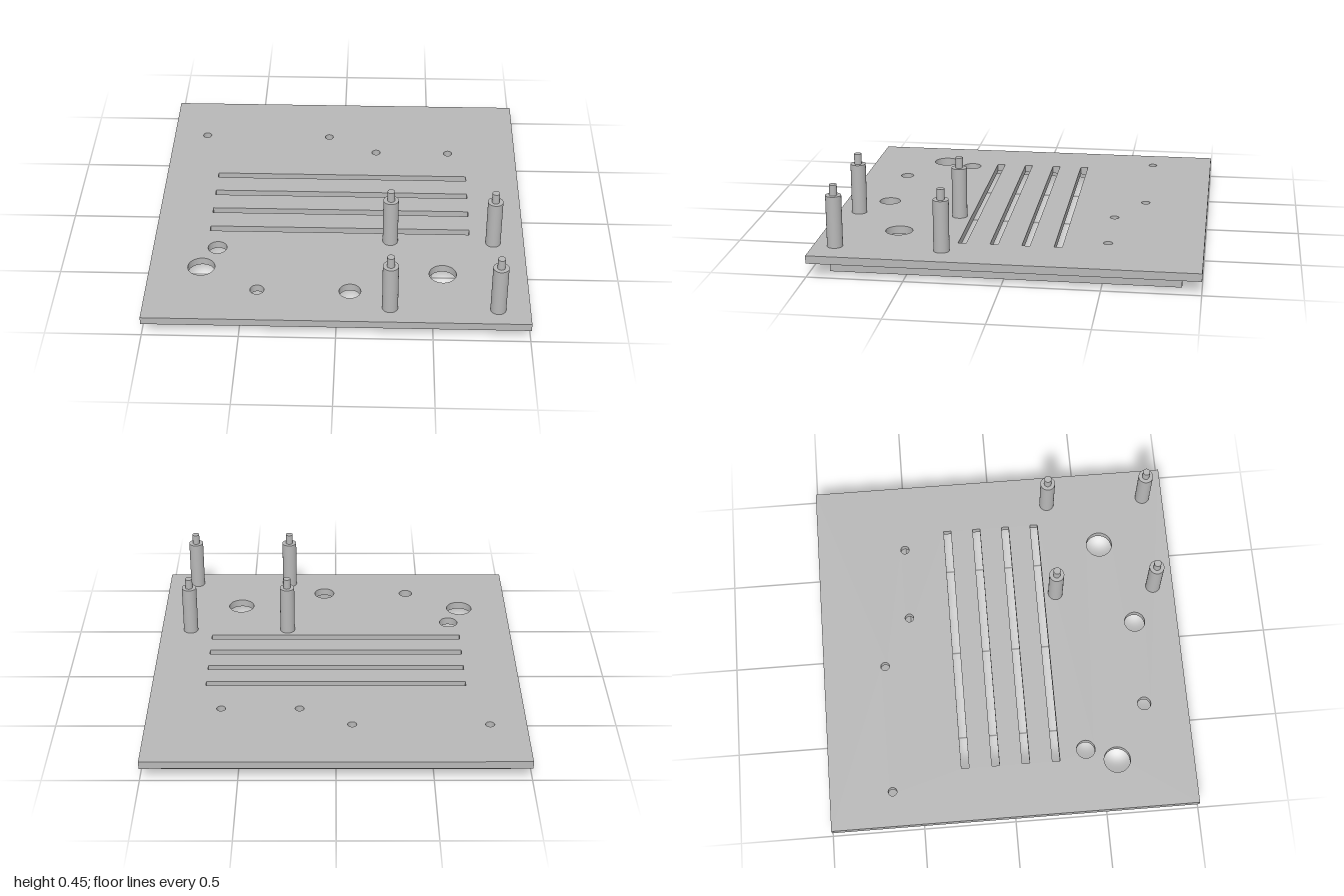
import * as THREE from 'three';

const PLATE_TOP = 0.115, PLATE_BOTTOM = 0.073;

// Path of a rectangle centred on (x, z)
function rectangle(path, x, z, halfX, halfZ) {
  path.moveTo(x - halfX, z - halfZ);
  path.lineTo(x + halfX, z - halfZ);
  path.lineTo(x + halfX, z + halfZ);
  path.lineTo(x - halfX, z + halfZ);
  path.closePath();
  return path;
}

// Extrude a plan outline (shape y becomes z) between two heights
function slab(shape, bottom, top) {
  const geometry = new THREE.ExtrudeGeometry(shape, {
    depth: top - bottom, bevelEnabled: false, curveSegments: 32,
  });
  return geometry.rotateX(Math.PI / 2).translate(0, top, 0);
}

export function createModel() {
  const model = new THREE.Group();
  model.name = 'mountingPanel';
  const metal = new THREE.MeshStandardMaterial({ color: 0xb8b8b8 });
  metal.name = 'grey metal';

  const add = (name, geometry, parent = model) => {
    const mesh = new THREE.Mesh(geometry, metal);
    mesh.name = name;
    parent.add(mesh);
    return mesh;
  };

  // Square plate with vent slots and round holes
  const plate = rectangle(new THREE.Shape(), 0, 0, 1, 1);
  for (const z of [-0.255, -0.088, 0.078, 0.244]) {
    plate.holes.push(rectangle(new THREE.Path(), 0, z, 0.707, 0.021));
  }
  const holes = [ // x, z, radius
    [-0.807, -0.658, 0.024], [-0.085, -0.658, 0.024],
    [0.193, -0.505, 0.024], [0.61, -0.505, 0.024],
    [-0.653, 0.412, 0.051], [-0.725, 0.578, 0.072],
    [-0.417, 0.76, 0.037], [0.068, 0.76, 0.057], [0.555, 0.607, 0.072],
  ];
  for (const [x, z, r] of holes) {
    plate.holes.push(new THREE.Path().absarc(x, z, r, 0, Math.PI * 2, true));
  }
  add('plate', slab(plate, PLATE_BOTTOM, PLATE_TOP));

  // Thin square rim under the plate
  const rim = rectangle(new THREE.Shape(), 0, 0, 0.9, 0.9);
  rim.holes.push(rectangle(new THREE.Path(), 0, 0, 0.88, 0.88));
  add('rim', slab(rim, 0, PLATE_BOTTOM));

  // Four standoffs, each with a narrow stud on top
  const bodyTop = 0.39, studTop = 0.447;
  const body = new THREE.CylinderGeometry(0.041, 0.041, bodyTop - PLATE_TOP, 32);
  const stud = new THREE.CylinderGeometry(0.02, 0.02, studTop - bodyTop, 24);
  for (const x of [0.277, 0.833]) {
    for (const z of [0.33, 0.886]) {
      const standoff = new THREE.Group();
      standoff.name = 'standoff';
      standoff.position.set(x, 0, z);
      add('standoffBody', body, standoff).position.y = (PLATE_TOP + bodyTop) / 2;
      add('standoffStud', stud, standoff).position.y = (bodyTop + studTop) / 2;
      model.add(standoff);
    }
  }
  return model;
}
